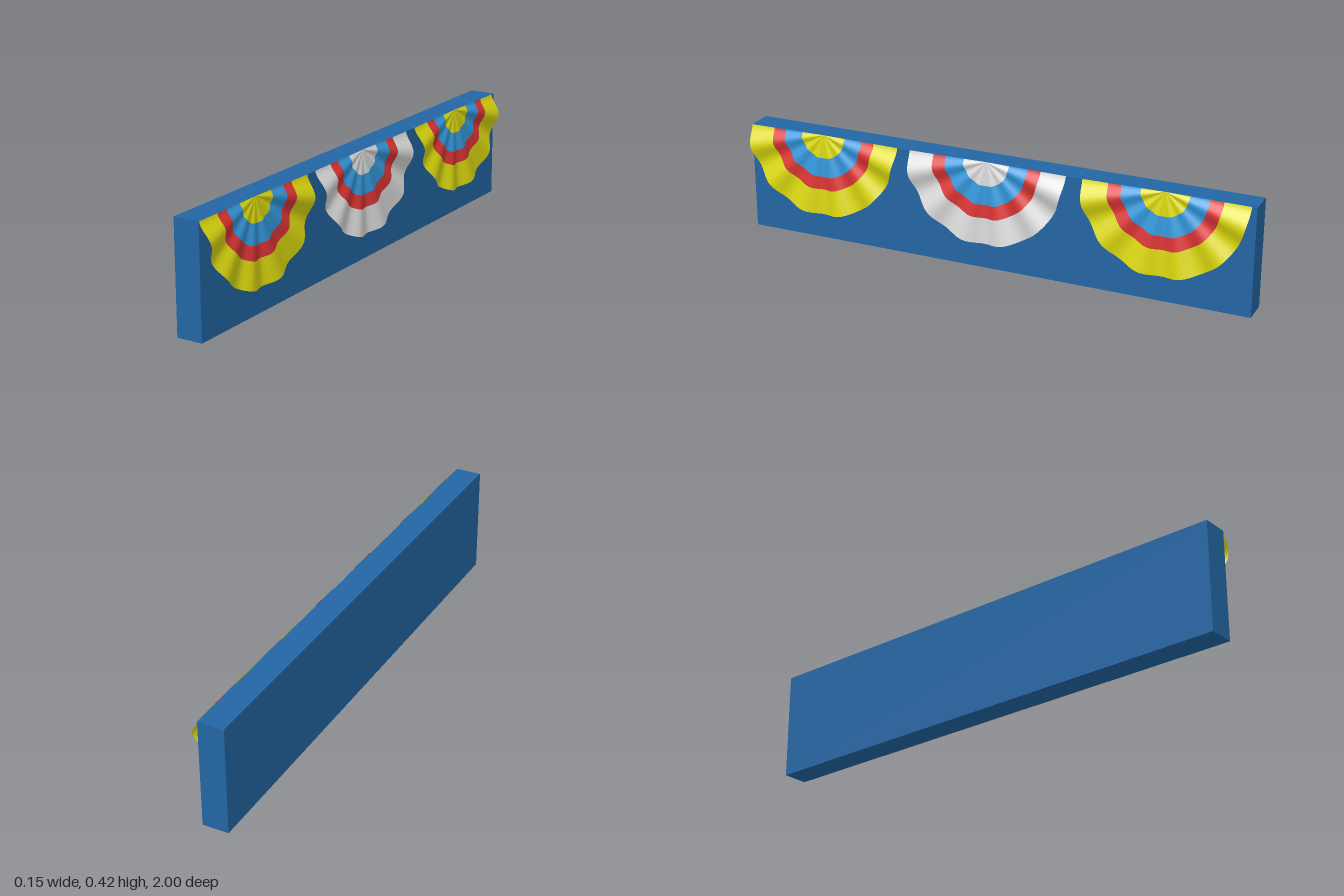
import * as THREE from 'three';

const mat = (name, color, side = THREE.FrontSide) => {
  const m = new THREE.MeshStandardMaterial({ color, side });
  m.name = name;
  return m;
};

const TOP = 0.417;     // height of the wall
const FACE = 0.027;    // wall face the fans hang on
const RADIUS = 0.311;  // fan radius

// One half-ring of cloth, pleated outward and hanging slightly off the wall
function pleatedBand(inner, outer, rings) {
  const geo = new THREE.RingGeometry(inner, outer, 96, rings, Math.PI, Math.PI);
  const p = geo.attributes.position;
  for (let i = 0; i < p.count; i++) {
    const px = p.getX(i), py = Math.min(p.getY(i), 0);
    const r = Math.hypot(px, py) / RADIUS;
    const a = Math.atan2(-py, Math.abs(px));            // 0 at the top edge, 90 degrees straight down
    const pleat = 0.5 - 0.5 * Math.cos(12 * a);
    const floor = 0.28 * Math.sin(2 * a);               // side troughs stay a little raised
    const depth = (0.038 - 0.014 * Math.sin(a)) * (floor + (1 - floor) * pleat);
    const tilt = 0.001 - 0.065 * py;
    p.setXYZ(i, px, py + 0.003 * (1 - r), tilt + r * depth);
  }
  geo.rotateY(Math.PI / 2);                             // face +x
  geo.computeVertexNormals();
  return geo;
}

export function createModel() {
  const model = new THREE.Group();
  model.name = 'wallWithBunting';

  const wallBlue = mat('wallBlue', 0x2366a4);
  const skyBlue = mat('skyBlue', 0x3498db, THREE.DoubleSide);
  const red = mat('red', 0xdb3434, THREE.DoubleSide);
  const yellow = mat('yellow', 0xdbd80f, THREE.DoubleSide);
  const white = mat('white', 0xdadada, THREE.DoubleSide);

  // Wall
  const wall = new THREE.Mesh(new THREE.BoxGeometry(0.1, TOP, 2), wallBlue);
  wall.name = 'wall';
  wall.position.set(FACE - 0.05, TOP / 2, 0);
  model.add(wall);

  // Bands shared by every fan, from the centre outward
  const bands = [
    ['fanCentre', pleatedBand(0, 0.09, 4)],
    ['innerBand', pleatedBand(0.09, 0.163, 4), skyBlue],
    ['middleBand', pleatedBand(0.163, 0.213, 3), red],
    ['outerBand', pleatedBand(0.213, RADIUS, 5)],
  ];

  // Three pleated fans along the top edge
  [[0.688, yellow], [0.015, white], [-0.67, yellow]].forEach(([z, trim]) => {
    const fan = new THREE.Group();
    fan.name = 'buntingFan';
    for (const [name, geo, material] of bands) {
      const mesh = new THREE.Mesh(geo, material ?? trim);
      mesh.name = name;
      fan.add(mesh);
    }
    fan.position.set(FACE, TOP, z);
    model.add(fan);
  });

  return model;
}
